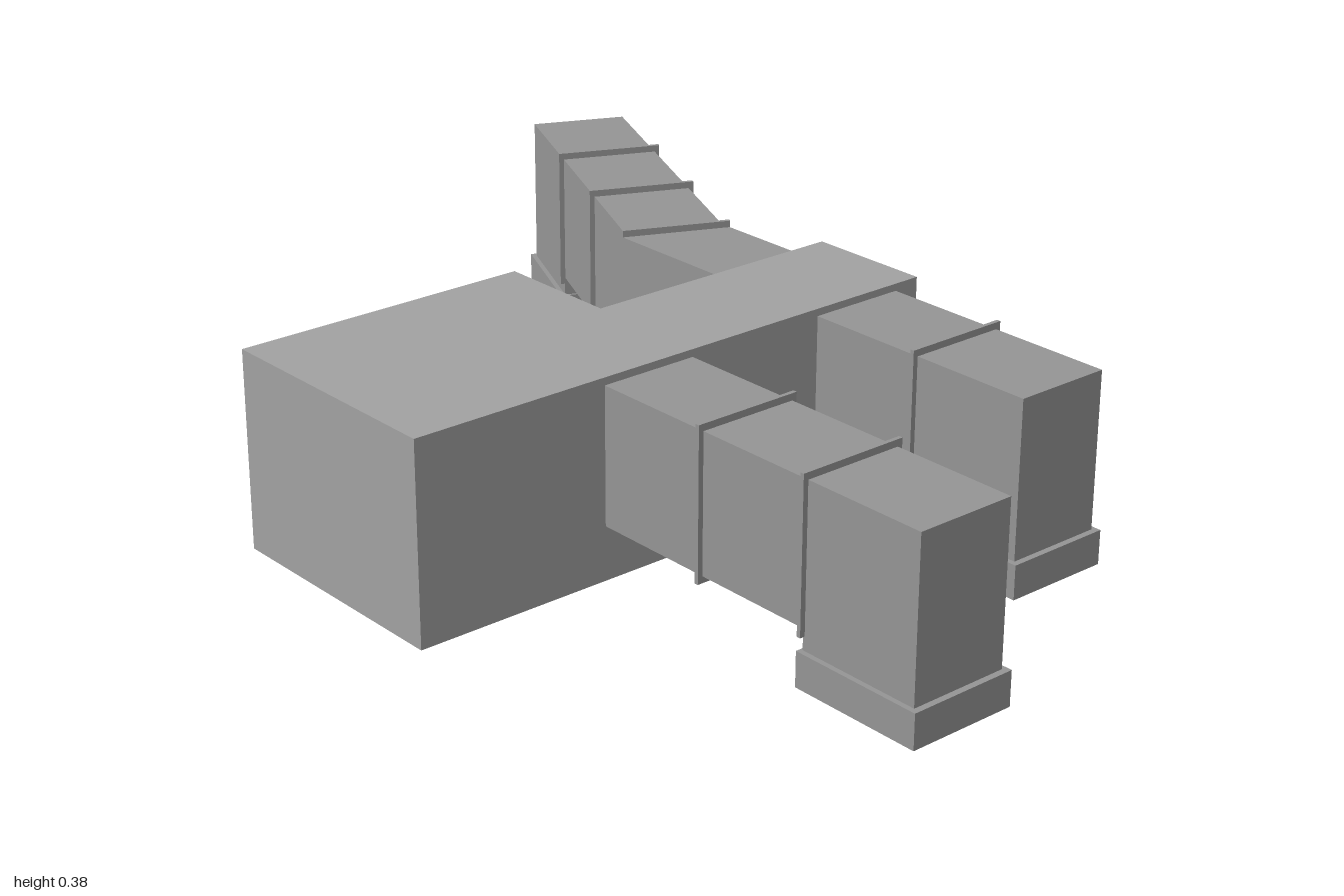
import * as THREE from 'three';

const paint = (color) => new THREE.MeshStandardMaterial({ color, flatShading: true });
const WALL = paint(0xa2a2a2);
const BRIDGE = paint(0x959595);
const CABINET = paint(0x606060);

// Box given by its minimum and maximum on each axis
function block(parent, name, material, [x0, x1], [y0, y1], [z0, z1]) {
  const mesh = new THREE.Mesh(new THREE.BoxGeometry(x1 - x0, y1 - y0, z1 - z0), material);
  mesh.position.set((x0 + x1) / 2, (y0 + y1) / 2, (z0 + z1) / 2);
  mesh.name = name;
  parent.add(mesh);
}

// Floor plan of [x, z] corners raised from y0 to y1
function raisedPlan(parent, name, material, corners, y0, y1) {
  const shape = new THREE.Shape(corners.map(([x, z]) => new THREE.Vector2(x, -z)));
  const geometry = new THREE.ExtrudeGeometry(shape, { depth: y1 - y0, bevelEnabled: false });
  const mesh = new THREE.Mesh(geometry, material);
  mesh.rotation.x = -Math.PI / 2;
  mesh.position.y = y0;
  mesh.name = name;
  parent.add(mesh);
}

const SEGMENT = 0.247;       // length of one bridge section
const HALF = 0.098;          // half width of the bridge
const FLOOR = 0.105, ROOF = 0.367;

// Boarding bridge running along its local +x, ending in a cabin on a base
function bridge(parent, name, x, z, angle, sections, firstCollar) {
  const group = new THREE.Group();
  group.name = name;
  group.position.set(x, 0, z);
  group.rotation.y = angle;
  parent.add(group);
  for (let i = 0; i < sections; i++) {
    block(group, 'corridor', BRIDGE, [i * SEGMENT, (i + 1) * SEGMENT], [FLOOR, ROOF], [-HALF, HALF]);
  }
  for (let i = firstCollar; i <= sections; i++) {
    const c = i * SEGMENT;
    block(group, 'collar', BRIDGE, [c - 0.004, c + 0.004], [0.092, 0.38], [-0.108, 0.108]);
  }
  const start = sections * SEGMENT;
  block(group, 'cabin', BRIDGE, [start, start + 0.25], [0.02, ROOF], [-HALF, HALF]);
  block(group, 'cabinBase', BRIDGE, [start - 0.005, start + 0.262], [0, 0.066], [-0.108, 0.108]);
}

export function createModel() {
  const model = new THREE.Group();
  model.name = 'terminal';

  // L-shaped terminal building
  raisedPlan(model, 'terminalBuilding', WALL, [
    [-0.26, 0.7], [0.242, 0.7], [0.242, -0.437], [-0.01, -0.437], [-0.01, 0.107], [-0.26, 0.107],
  ], 0, 0.381);

  // Straight bridges on the left side
  bridge(model, 'frontBridge', 0.243, 0.208, 0, 2, 1);
  bridge(model, 'backBridge', 0.241, -0.285, 0, 1, 1);

  // Slanted connector leading into the angled bridge
  raisedPlan(model, 'connector', BRIDGE, [
    [-0.01, -0.188], [-0.01, -0.384], [-0.218, -0.384], [-0.304, -0.188],
  ], FLOOR, ROOF);
  bridge(model, 'angledBridge', -0.261, -0.288, Math.PI - 0.425, 2, 0);

  // Wall cabinet with its conduit down to the ground
  block(model, 'wallCabinet', CABINET, [-0.272, -0.255], [0.15, 0.235], [0.39, 0.473]);
  block(model, 'conduit', CABINET, [-0.267, -0.255], [0, 0.15], [0.42, 0.443]);

  return model;
}
